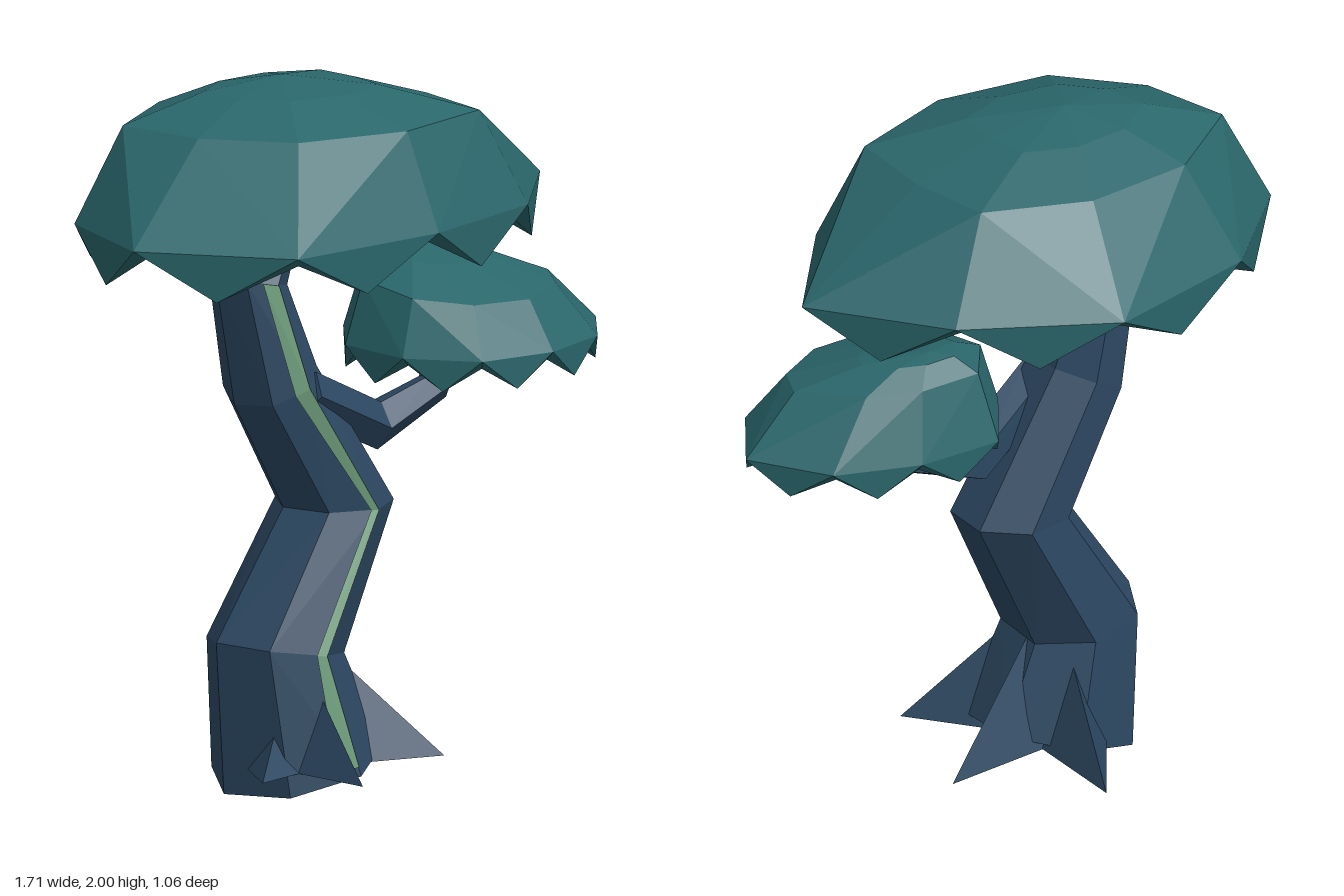
import * as THREE from 'three';

const V = (x, y, z) => new THREE.Vector3(x, y, z);
const bark = new THREE.MeshStandardMaterial({ color: 0x2c4862, flatShading: true });
const leaf = new THREE.MeshStandardMaterial({ color: 0x2a676c, flatShading: true });
const moss = new THREE.MeshStandardMaterial({ color: 0x6f9f7c, flatShading: true, side: THREE.DoubleSide });

// Faceted skin over a stack of rings with equal point counts; each quad folds outward
function loft(rings, closed = true) {
  const pos = [];
  const normal = (a, b, c) => b.clone().sub(a).cross(c.clone().sub(a));
  const tri = (a, b, c) => {
    if (normal(a, b, c).length() > 1e-8) for (const p of [a, b, c]) pos.push(p.x, p.y, p.z);
  };
  for (let i = 0; i + 1 < rings.length; i++) {
    const lo = rings[i], hi = rings[i + 1], n = lo.length;
    for (let j = 0; j < (closed ? n : n - 1); j++) {
      const k = (j + 1) % n;
      const [a, b, c, d] = [lo[j], lo[k], hi[k], hi[j]];
      if (normal(a, b, c).dot(d.clone().sub(a)) > 1e-9) {
        tri(a, b, d);
        tri(b, c, d);
      } else {
        tri(a, b, c);
        tri(a, c, d);
      }
    }
  }
  const g = new THREE.BufferGeometry();
  g.setAttribute('position', new THREE.Float32BufferAttribute(pos, 3));
  g.computeVertexNormals();
  return g;
}

const centre = (ring) => ring.reduce((s, p) => s.add(p), V(0, 0, 0)).divideScalar(ring.length);
const collapse = (ring, p = centre(ring)) => ring.map(() => p.clone());
const capped = (rings) => [collapse(rings[0]), ...rings, collapse(rings[rings.length - 1])];

// Polygon ring whose first corner points to the front
function ring(c, e1, r1, rz, n) {
  return Array.from({ length: n }, (_, j) => {
    const a = (j / n) * Math.PI * 2;
    return c.clone().addScaledVector(e1, Math.sin(a) * r1).add(V(0, 0, Math.cos(a) * rz));
  });
}

function add(parent, name, geometry, material) {
  const m = new THREE.Mesh(geometry, material);
  m.name = name;
  parent.add(m);
}

function addGroup(parent, name) {
  const g = new THREE.Group();
  g.name = name;
  parent.add(g);
  return g;
}

// Leaf cap: faceted dome, one hanging tooth per rim edge and a hollow underside
function addCanopy(parent, name, { rim, upper, apex, rimY, upperY, tilt, tipY, valleyY, innerY, ceilY }) {
  const group = addGroup(parent, name);
  const edge = rim.map(([x, z]) => V(x, rimY, z));
  const shoulder = upper.map(([x, z]) => V(x, upperY - tilt * z, z));
  const crown = shoulder.map((p) => p.clone().lerp(apex, 0.5).add(V(0, 0.02, 0)));
  add(group, 'dome', loft([edge, shoulder, crown, collapse(crown, apex)]), leaf);

  const mid = centre(edge);
  const split = edge.flatMap((p, i) => [p, p.clone().lerp(edge[(i + 1) % edge.length], 0.5)]);
  const fringe = split.map((p, j) => mid.clone().lerp(p, j % 2 ? 0.99 : 0.92).setY(j % 2 ? tipY : valleyY));
  const inner = split.map((p) => mid.clone().lerp(p, 0.62).setY(innerY));
  const ceiling = collapse(inner, mid.clone().setY(ceilY));
  add(group, 'underside', loft([ceiling, inner, fringe, split]), leaf);
}

export function createModel() {
  const tree = new THREE.Group();
  tree.name = 'tree';

  // Trunk: centre x, y, z, radius across, radius deep, tilt
  const trunk = [
    [-0.17, 0.06, 0.05, 0.235, 0.25, 0.26],
    [-0.235, 0.40, 0.03, 0.19, 0.2, -0.16],
    [-0.02, 0.78, 0.05, 0.165, 0.172, 0],
    [-0.235, 1.145, 0.015, 0.112, 0.15, 0.5],
    [-0.30, 1.44, -0.01, 0.104, 0.118, -0.2],
    [-0.11, 1.74, -0.01, 0.045, 0.06, -0.5],
  ].map(([x, y, z, rx, rz, tilt]) => ring(V(x, y, z), V(1, tilt, 0), rx, rz, 7));
  add(tree, 'trunk', loft(capped(trunk)), bark);

  // Pale stripe beside the front ridge
  const out = V(-0.003, 0, 0.006);
  const stripe = trunk.slice(0, 5).map((r, i) => {
    const w = [0.32, 0.18, 0.16, 0.4, 0.5][i];
    return [r[0].clone().lerp(r[6], w).add(out), r[0].clone().add(out)];
  });
  stripe[0].forEach((p, i) => p.lerp(stripe[1][i], 0.08));
  add(tree, 'stripe', loft(stripe, false), moss);

  // Side branch
  const path = [V(-0.2, 1.12, 0.11), V(0.12, 0.975, 0.07), V(0.34, 1.055, 0.09), V(0.43, 1.25, 0.12)];
  const radius = [0.068, 0.07, 0.05, 0.037];
  const branch = path.map((p, i) => {
    const t = path[Math.min(i + 1, 3)].clone().sub(path[Math.max(i - 1, 0)]);
    return ring(p, t.cross(V(0, 0, 1)).normalize(), radius[i], radius[i], 5);
  });
  add(tree, 'branch', loft(capped(branch)), bark);

  // Roots: tip x, tip z, height on the trunk, half width
  const roots = addGroup(tree, 'roots');
  for (const [x, z, h, w] of [
    [0.31, -0.05, 0.38, 0.11],
    [0.05, -0.39, 0.36, 0.11],
    [-0.49, 0.23, 0.24, 0.1],
    [-0.33, 0.46, 0.33, 0.1],
    [0.12, 0.34, 0.36, 0.1],
  ]) {
    const tip = V(x, 0.08, z), base = V(-0.19, 0.08, 0.05);
    const d = tip.clone().sub(base).normalize();
    const side = V(0, 1, 0).cross(d);
    const foot = base.clone().addScaledVector(d, 0.14);
    const tri = [
      base.clone().addScaledVector(d, 0.13).setY(h),
      foot.clone().addScaledVector(side, -w),
      foot.clone().addScaledVector(side, w),
    ];
    add(roots, 'root', loft([collapse(tri), tri, collapse(tri, tip)]), bark);
  }

  // Large canopy on the trunk
  addCanopy(tree, 'largeCanopy', {
    rim: [[-0.1, 0.53], [0.34, 0.45], [0.68, 0.17], [0.48, -0.23], [0.12, -0.53],
      [-0.37, -0.5], [-0.71, -0.28], [-0.86, 0.09], [-0.62, 0.49]],
    upper: [[-0.1, 0.41], [0.24, 0.36], [0.3, 0.1], [0.3, -0.15], [0.03, -0.32],
      [-0.3, -0.35], [-0.59, -0.21], [-0.57, 0.06], [-0.42, 0.3]],
    apex: V(-0.17, 2, -0.01),
    rimY: 1.62, upperY: 1.89, tilt: 0, tipY: 1.485, valleyY: 1.59, innerY: 1.68, ceilY: 1.76,
  });

  // Small canopy on the branch
  addCanopy(tree, 'smallCanopy', {
    rim: [[0.43, 0.46], [0.67, 0.4], [0.85, 0.22], [0.75, -0.02], [0.53, -0.15],
      [0.28, -0.2], [0.1, -0.02], [0.08, 0.22], [0.2, 0.41]],
    upper: [[0.43, 0.37], [0.6, 0.31], [0.68, 0.2], [0.6, 0], [0.48, -0.1],
      [0.3, -0.14], [0.15, 0], [0.14, 0.2], [0.25, 0.33]],
    apex: V(0.38, 1.445, -0.03),
    rimY: 1.19, upperY: 1.37, tilt: 0.12, tipY: 1.1, valleyY: 1.165, innerY: 1.21, ceilY: 1.25,
  });

  return tree;
}
